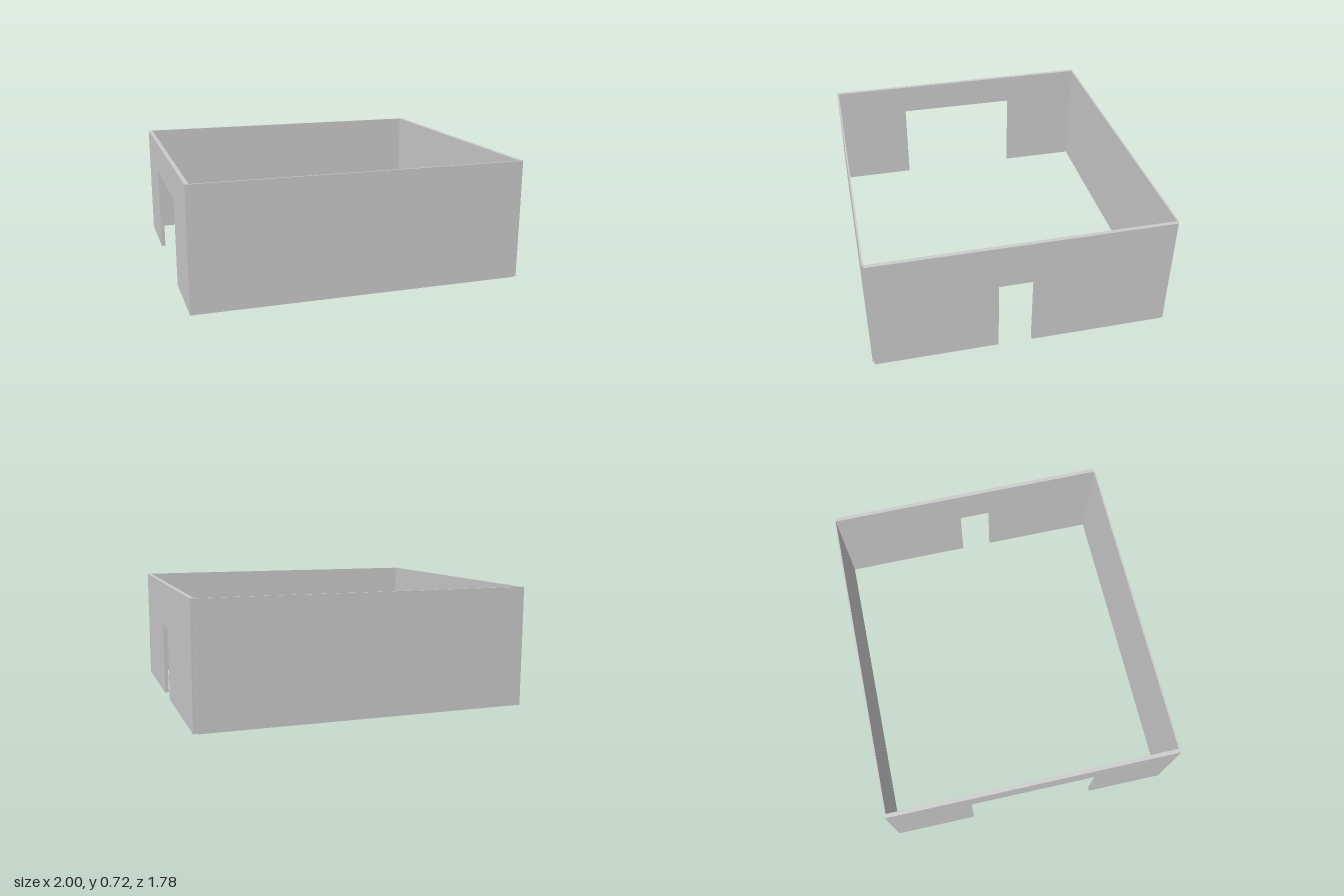
import * as THREE from 'three';

const HEIGHT = 0.723;
const HALF_DEPTH = 0.89;
const SIDE_THICK = 0.024;
const PANEL_THICK = 0.01;

const material = new THREE.MeshStandardMaterial({ color: 0xcccccc, flatShading: true });

// Side wall running along z, with a doorway from z0 to z1 cut up from the floor
function sideWall(name, xMin, z0, z1, doorHeight) {
  const half = HALF_DEPTH - PANEL_THICK;
  // Outline in the (-z, y) plane; turned so that it extrudes along +x
  const outline = [
    [half, 0], [half, HEIGHT], [-half, HEIGHT], [-half, 0],
    [z0, 0], [z0, doorHeight], [z1, doorHeight], [z1, 0],
  ].map(([z, y]) => new THREE.Vector2(-z, y));
  const geometry = new THREE.ExtrudeGeometry(new THREE.Shape(outline), {
    depth: SIDE_THICK,
    bevelEnabled: false,
  });
  geometry.rotateY(Math.PI / 2);
  const mesh = new THREE.Mesh(geometry, material);
  mesh.name = name;
  mesh.position.x = xMin;
  return mesh;
}

// Thin solid wall across x, covering the end of the right-angled side wall at -x
function endWall(name, side) {
  const width = 2 - SIDE_THICK;
  const mesh = new THREE.Mesh(new THREE.BoxGeometry(width, HEIGHT, PANEL_THICK), material);
  mesh.name = name;
  mesh.position.set(-1 + width / 2, HEIGHT / 2, side * (HALF_DEPTH - PANEL_THICK / 2));
  return mesh;
}

export function createModel() {
  const room = new THREE.Group();
  room.name = 'roomWalls';
  room.add(
    endWall('frontWall', 1),
    endWall('backWall', -1),
    // Narrow doorway on +x, wide opening on -x
    sideWall('doorWall', 1 - SIDE_THICK, -0.052, 0.152, 0.45),
    sideWall('wideOpeningWall', -1, -0.385, 0.405, 0.527),
  );
  return room;
}
